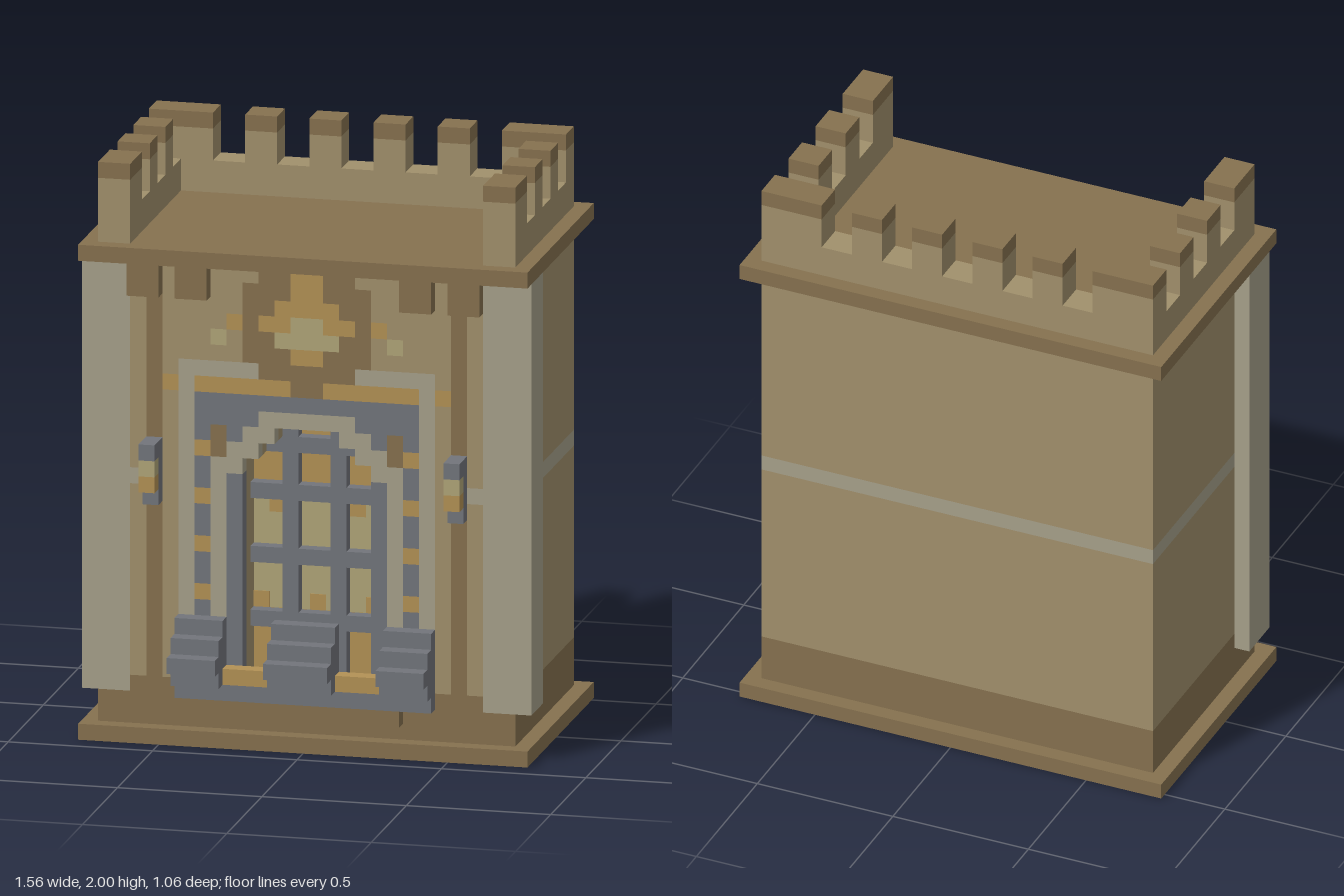
import * as THREE from 'three';
import { mergeGeometries } from 'three/addons/utils/BufferGeometryUtils.js';

const U = 1 / 18; // one block
const COLORS = {
  brown: 0x86714f, tan: 0xa1906c, beige: 0xa6a08a,
  grey: 0x72757b, orange: 0xb39155, cream: 0xb0a578,
};
const MATS = {};
for (const k in COLORS) {
  MATS[k] = new THREE.MeshStandardMaterial({ color: COLORS[k] });
}

// Box geometry from block limits
function block(x0, x1, y0, y1, z0, z1) {
  return new THREE.BoxGeometry((x1 - x0) * U, (y1 - y0) * U, (z1 - z0) * U)
    .translate((x0 + x1) / 2 * U, (y0 + y1) / 2 * U, (z0 + z1) / 2 * U);
}

// Collects boxes of a part by colour, then merges them into one mesh per colour
function part(parent, name, build) {
  const byColor = {};
  const add = (color, ...b) => (byColor[color] ??= []).push(block(...b));
  const pair = (color, x0, x1, ...rest) => {
    add(color, x0, x1, ...rest);
    add(color, -x1, -x0, ...rest);
  };
  build(add, pair);
  const group = new THREE.Group();
  group.name = name;
  for (const c in byColor) {
    const mesh = new THREE.Mesh(mergeGeometries(byColor[c]), MATS[c]);
    mesh.name = `${name} ${c}`;
    group.add(mesh);
  }
  parent.add(group);
}

// Mosaic of the front wall: half pattern painted in order, mirrored in x
function paintFront() {
  const grid = Array.from({ length: 30 }, () => Array(11).fill('tan'));
  const fill = (color, x0, x1, y0, y1) => {
    for (let y = y0; y < y1; y++) for (let x = x0; x < x1; x++) grid[y][x] = color;
  };
  // side strips and band
  fill('beige', 9, 11, 16, 17);
  fill('brown', 9, 10, 4, 30);
  // portal frame
  fill('beige', 7, 8, 4, 24);
  fill('beige', 3, 8, 23, 24);
  fill('orange', 0, 7, 22, 23);
  fill('orange', 8, 9, 22, 23);
  fill('grey', 0, 7, 4, 22);
  for (let y = 9; y <= 18; y += 3) fill('orange', 6, 7, y, y + 1);
  // stepped arch
  fill('brown', 5, 6, 18, 20);
  fill('beige', 5, 6, 4, 18);
  fill('beige', 4, 5, 17, 19);
  fill('beige', 3, 4, 18, 20);
  fill('beige', 2, 3, 19, 21);
  fill('beige', 0, 2, 20, 21);
  // medallion
  fill('brown', 0, 1, 22, 23);
  fill('brown', 0, 3, 23, 30);
  fill('brown', 3, 4, 24, 29);
  fill('orange', 0, 1, 24, 30);
  fill('orange', 0, 2, 27, 28);
  fill('orange', 1, 3, 26, 27);
  fill('orange', 4, 5, 26, 27);
  fill('cream', 0, 1, 25, 27);
  fill('cream', 1, 2, 25, 26);
  fill('cream', 5, 6, 25, 26);
  // gate opening
  fill(null, 0, 4, 4, 18);
  fill(null, 0, 3, 18, 19);
  fill(null, 0, 2, 19, 20);
  return grid;
}

export function createModel() {
  const model = new THREE.Group();
  model.name = 'gatehouse';

  part(model, 'slabs', (add) => {
    add('brown', -14, 14, 0, 1, -9.5, 7.5);
    add('brown', -14, 14, 30, 31, -9.5, 7.5);
  });

  part(model, 'body', (add, pair) => {
    add('brown', -13, 13, 1, 3, -8.5, 6.5);
    add('brown', -13, 13, 3, 4, -8.5, 3.5);
    add('brown', -11, 11, 3, 4, 3.5, 6.5);
    add('tan', -13, 13, 4, 16, -8.5, 3.5);
    add('beige', -13, 13, 16, 17, -8.5, 3.5);
    add('tan', -13, 13, 17, 30, -8.5, 3.5);
    // thickness around the gate recess
    pair('tan', 4, 11, 4, 30, 3.5, 5.5);
    pair('tan', 3, 4, 18, 30, 3.5, 5.5);
    pair('tan', 2, 3, 19, 30, 3.5, 5.5);
    add('tan', -2, 2, 20, 30, 3.5, 5.5);
  });

  part(model, 'cornerPillar', (add, pair) => pair('beige', 11, 14, 3, 30, 3.5, 6.5));

  part(model, 'frontMosaic', (add) => {
    const grid = paintFront();
    const at = (x, y) => grid[y][x < 0 ? -x - 1 : x];
    for (let y = 4; y < 30; y++) {
      for (let x = -11; x < 11;) {
        const color = at(x, y), start = x;
        while (x < 11 && at(x, y) === color) x++;
        if (color) add(color, start, x, y, y + 1, 5.5, 6.5);
      }
    }
  });

  // Glowing panel behind the bars
  part(model, 'gateBacking', (add, pair) => {
    add('orange', -4, 4, 4, 8, 3.5, 3.6);
    add('cream', -4, 4, 8, 15, 3.5, 3.6);
    add('orange', -4, 4, 15, 20, 3.5, 3.6);
    pair('orange', 2, 3, 14, 15, 3.6, 3.65);
    pair('orange', 3, 4, 8, 9, 3.6, 3.65);
    add('orange', -0.5, 0.5, 8, 9, 3.6, 3.65);
  });

  part(model, 'portcullis', (add, pair) => {
    pair('grey', 1, 2, 4, 20, 3.65, 4.5);
    for (const y of [7, 11, 15, 18]) {
      const w = y === 18 ? 3 : 4;
      add('grey', -1, 1, y, y + 1, 3.65, 4.5);
      pair('grey', 2, w, y, y + 1, 3.65, 4.5);
    }
  });

  // Stepped blocks in front of the gate
  part(model, 'steps', (add, pair) => {
    add('brown', -6, 6, 2, 3, 6.5, 7.5);
    add('grey', -8, 8, 3, 4, 6.5, 7.5);
    pair('orange', 2, 5, 4, 5, 6.5, 7.5);
    [8.5, 9.5, 8.5, 7.5].forEach((z, i) => {
      add('grey', -2, 2, 4 + i, 5 + i, 6.5, z);
      pair('grey', 5, 8, 4 + i, 5 + i, 6.5, z);
    });
  });

  part(model, 'lantern', (add, pair) => {
    pair('grey', 9, 10, 15, 19, 6.5, 7.5);
    ['orange', 'cream', 'grey'].forEach((c, i) => pair(c, 9, 10, 16 + i, 17 + i, 7.5, 8.5));
  });

  part(model, 'corbel', (add, pair) => {
    pair('brown', 9, 11, 28, 30, 6.5, 7.5);
    pair('brown', 6, 8, 28, 30, 6.5, 7.5);
  });

  part(model, 'battlements', (add, pair) => {
    // parapet on back and sides, open at the front
    add('tan', -13, 13, 31, 33, -8.5, -6.5);
    pair('tan', 11, 13, 31, 33, -6.5, 6.5);
    const merlon = (x0, x1, z0, z1) => {
      pair('tan', x0, x1, 33, 35, z0, z1);
      pair('brown', x0, x1, 35, 36, z0, z1);
    };
    for (const [x0, x1] of [[1, 3], [5, 7], [9, 13]]) merlon(x0, x1, -8.5, -6.5);
    for (const [z0, z1] of [[-4.5, -2.5], [-0.5, 1.5], [3.5, 6.5]]) merlon(11, 13, z0, z1);
  });

  return model;
}
